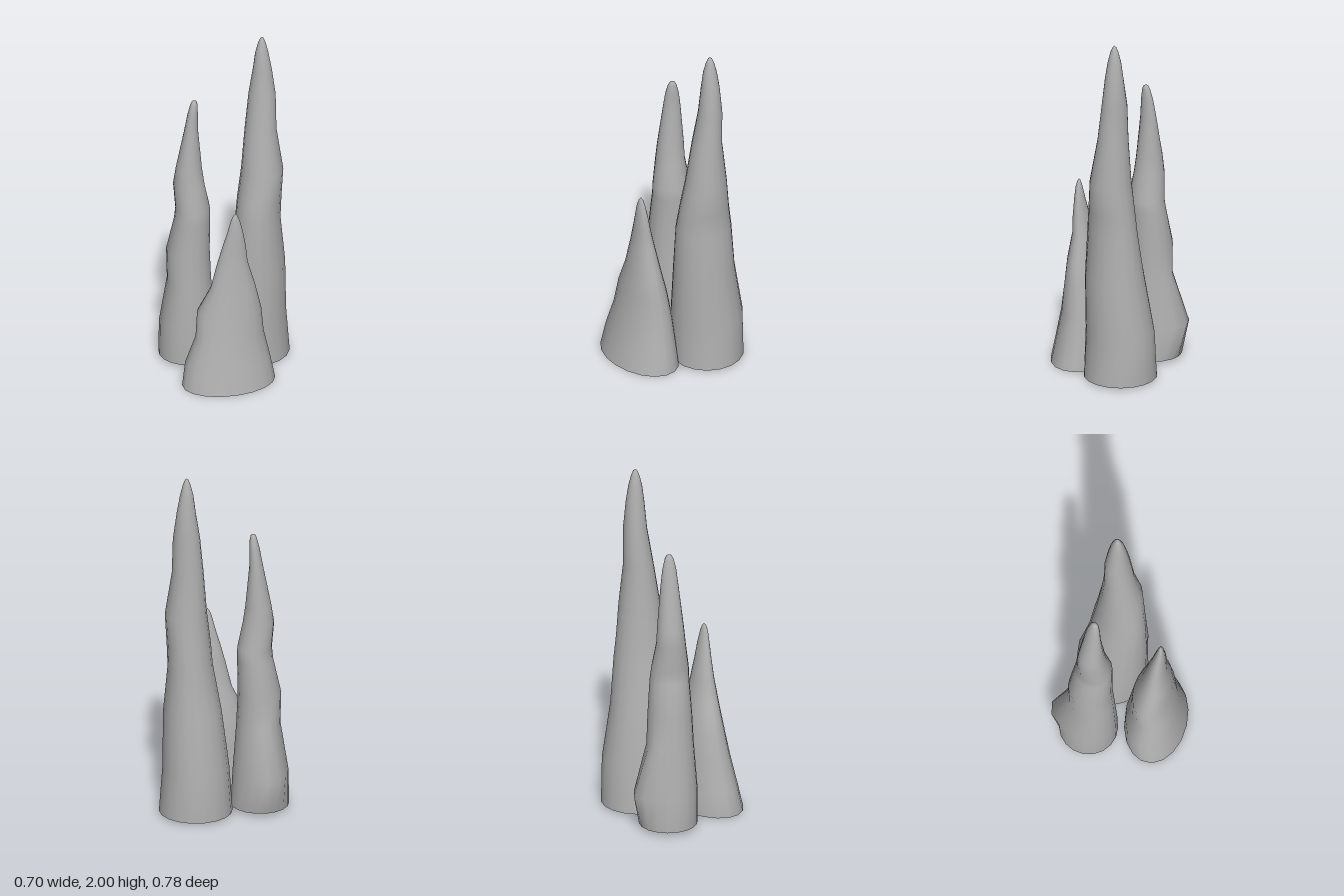
import * as THREE from 'three';

const SIDES = 18;

// Lofts rings into a closed spire with a flat base and a rounded tip.
// ring: [y, xMin, xMax, zMin, zMax]; skew turns the ellipse, bulge(y, angle) pushes a side outwards
function spireGeometry(rings, tip, skew = 0, bulge = () => 0) {
  const pos = [];
  const index = [];
  const addRing = ([y, x0, x1, z0, z1]) => {
    for (let i = 0; i < SIDES; i++) {
      const t = (i / SIDES) * Math.PI * 2;
      const k = 1 + bulge(y, t);
      pos.push(
        (x0 + x1) / 2 + ((x1 - x0) / 2) * Math.sin(t) * k,
        y,
        (z0 + z1) / 2 + ((z1 - z0) / 2) * Math.cos(t + skew) * k
      );
    }
  };
  // side wall
  rings.forEach(addRing);
  for (let r = 0; r < rings.length - 1; r++) {
    for (let i = 0; i < SIDES; i++) {
      const j = (i + 1) % SIDES;
      const a = r * SIDES + i, b = r * SIDES + j;
      index.push(a, b, b + SIDES, a, b + SIDES, a + SIDES);
    }
  }
  // tip fan
  const last = (rings.length - 1) * SIDES;
  const apex = pos.length / 3;
  pos.push(...tip);
  for (let i = 0; i < SIDES; i++) index.push(last + i, last + ((i + 1) % SIDES), apex);
  // base disc with its own vertices for a sharp rim
  const base = pos.length / 3;
  addRing(rings[0]);
  for (let i = 1; i < SIDES - 1; i++) index.push(base, base + i + 1, base + i);

  const g = new THREE.BufferGeometry();
  g.setAttribute('position', new THREE.Float32BufferAttribute(pos, 3));
  g.setIndex(index);
  g.computeVertexNormals();
  return g;
}

export function createModel() {
  const group = new THREE.Group();
  const stone = new THREE.MeshStandardMaterial({ color: 0xb0b0b0 });
  stone.name = 'grey stone';

  const add = (name, geometry) => {
    const mesh = new THREE.Mesh(geometry, stone);
    mesh.name = name;
    group.add(mesh);
  };

  // tall spire at the back
  add('tallSpire', spireGeometry([
    [0.01, -0.055, 0.355, -0.39, 0.02],
    [0.28, -0.035, 0.335, -0.385, 0.02],
    [0.6, 0.01, 0.335, -0.335, 0.01],
    [0.87, 0.06, 0.31, -0.315, 0.0],
    [1.0, 0.07, 0.315, -0.3, -0.02],
    [1.18, 0.09, 0.325, -0.285, -0.05],
    [1.43, 0.108, 0.285, -0.26, -0.09],
    [1.64, 0.125, 0.277, -0.26, -0.125],
    [1.8, 0.15, 0.255, -0.245, -0.14],
    [1.9, 0.163, 0.237, -0.23, -0.153],
    [1.96, 0.178, 0.222, -0.215, -0.168],
    [1.99, 0.19, 0.21, -0.203, -0.18],
  ], [0.2, 2, -0.19]));

  // medium spire, swollen low down on its back
  const bulge = (y, t) =>
    0.42 * Math.exp(-(((y - 0.22) / 0.12) ** 2) - ((t - 3.55) / 0.6) ** 2);
  add('mediumSpire', spireGeometry([
    [0.02, -0.355, -0.03, -0.22, 0.105],
    [0.22, -0.35, -0.04, -0.21, 0.105],
    [0.5, -0.305, -0.06, -0.18, 0.085],
    [0.68, -0.31, -0.068, -0.175, 0.075],
    [0.88, -0.265, -0.065, -0.16, 0.062],
    [0.95, -0.257, -0.065, -0.15, 0.06],
    [1.1, -0.27, -0.095, -0.125, 0.04],
    [1.2, -0.255, -0.11, -0.12, 0.03],
    [1.44, -0.208, -0.133, -0.1, 0.002],
    [1.54, -0.19, -0.133, -0.088, -0.01],
    [1.6, -0.175, -0.135, -0.074, -0.024],
    [1.62, -0.167, -0.14, -0.064, -0.034],
  ], [-0.154, 1.628, -0.049], 0, bulge));

  // short wide spire at the front
  add('shortSpire', spireGeometry([
    [0, -0.148, 0.343, -0.015, 0.388],
    [0.14, -0.135, 0.315, 0.0, 0.357],
    [0.3, -0.08, 0.278, 0.02, 0.32],
    [0.45, -0.075, 0.267, 0.045, 0.29],
    [0.6, -0.0, 0.237, 0.08, 0.263],
    [0.75, 0.035, 0.197, 0.112, 0.237],
    [0.85, 0.062, 0.19, 0.133, 0.225],
    [0.95, 0.092, 0.175, 0.15, 0.215],
    [1.02, 0.11, 0.16, 0.165, 0.207],
    [1.055, 0.123, 0.147, 0.175, 0.197],
  ], [0.135, 1.07, 0.186], 0.36));

  return group;
}
